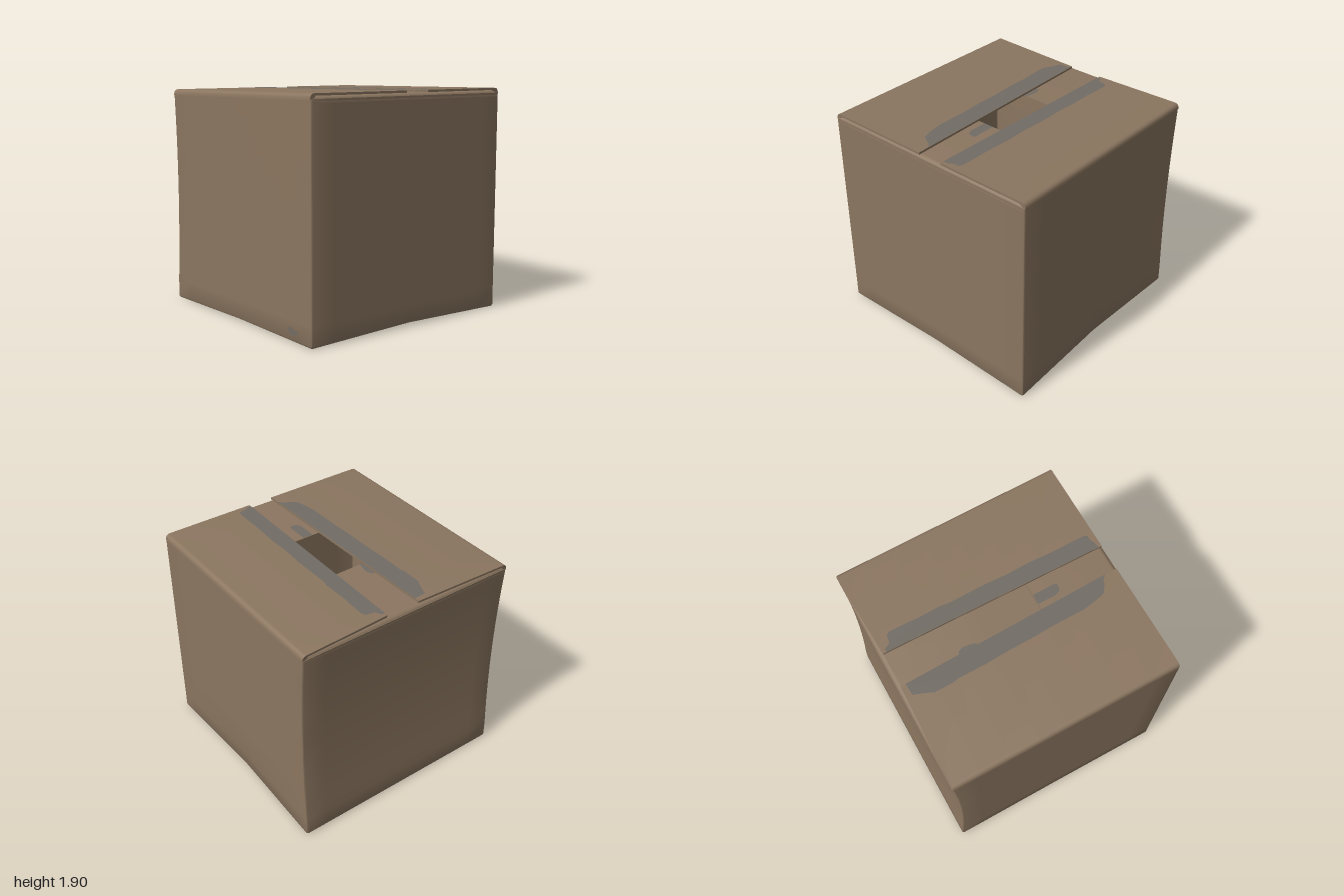
import * as THREE from 'three';
import { toCreasedNormals } from 'three/addons/utils/BufferGeometryUtils.js';

const { lerp, clamp } = THREE.MathUtils;

// Move every vertex by a rule
function bend(geo, rule) {
  const p = geo.attributes.position, v = new THREE.Vector3();
  for (let i = 0; i < p.count; i++) {
    v.fromBufferAttribute(p, i);
    rule(v);
    p.setXYZ(i, v.x, v.y, v.z);
  }
  return geo;
}

// Worn shape of the carton: tilted top, caved-in side, lifted bottom edges
function wear(v) {
  const { x, y, z } = v;
  const low = clamp(1 - y / 0.3, 0, 1);
  const dent = 0.034 * Math.max(0, 1 - ((y - 1) / 0.87) ** 2);
  v.x += dent * clamp(-x, 0, 1);
  v.y += 0.012 * x * (y / 1.87);
  v.y += low * (0.028 * (1 - Math.abs(z)) * clamp((x + 1) / 2, 0, 1) + 0.015 * (1 - Math.abs(x)));
  v.z += low * 0.03 * (1 - Math.abs(x)) * clamp(-z, 0, 1);
}

// Rounded square outline with points along each side
function squareRing(h, radius) {
  const pts = [], r = Math.min(radius, h * 0.5), sideSteps = 10, arcSteps = 3;
  for (let s = 0; s < 4; s++) {
    const c = Math.cos(s * Math.PI / 2), n = Math.sin(s * Math.PI / 2);
    const add = (a, b) => pts.push([a * c - b * n, a * n + b * c]);
    for (let i = 0; i <= sideSteps; i++) add(h, lerp(-h + r, h - r, i / sideSteps));
    for (let i = 1; i < arcSteps; i++) {
      const t = i / arcSteps * Math.PI / 2;
      add(h - r + r * Math.cos(t), h - r + r * Math.sin(t));
    }
  }
  return pts;
}

// Hollow open carton, lofted underside -> outer walls -> rim -> inner walls -> floor
function cartonGeometry() {
  const levels = [[0, 0.001], [0, 0.5], [0, 0.975], [0.005, 0.988], [0.018, 0.995]];
  for (let i = 1; i <= 12; i++) levels.push([lerp(0.018, 1.845, i / 12), 0.995]);
  for (let i = 0; i <= 12; i++) levels.push([lerp(1.845, 0.03, i / 12), 0.972]);
  levels.push([0.03, 0.5], [0.03, 0.001]);
  const pos = [], index = [];
  let n = 0;
  levels.forEach(([y, h]) => {
    const ring = squareRing(h, 0.014);
    n = ring.length;
    ring.forEach(([x, z]) => pos.push(x, y, z));
  });
  for (let i = 0; i < levels.length - 1; i++) {
    for (let j = 0; j < n; j++) {
      const a = i * n + j, b = i * n + (j + 1) % n;
      index.push(a, a + n, b, b, a + n, b + n);
    }
  }
  const geo = new THREE.BufferGeometry();
  geo.setAttribute('position', new THREE.Float32BufferAttribute(pos, 3));
  geo.setIndex(index);
  return toCreasedNormals(bend(geo, wear), 0.6);
}

// Folded flap reaching from the outer edge inwards, turned to its side
function flapGeometry(angle, top, inner, width, rule = () => {}) {
  const t = 0.018;
  const s = new THREE.Shape();
  s.moveTo(0.996, top - 0.05);
  s.quadraticCurveTo(0.996, top, 0.955, top);
  s.lineTo(inner, top);
  s.lineTo(inner, top - t);
  s.lineTo(0.945, top - t);
  s.lineTo(0.975, top - 0.05);
  const geo = new THREE.ExtrudeGeometry(s, { depth: width, steps: 8, bevelEnabled: false, curveSegments: 6 });
  geo.translate(0, 0, -width / 2).rotateY(angle);
  bend(geo, rule);
  return toCreasedNormals(bend(geo, wear), 0.6);
}

// Inner edges of the two long flaps run slightly askew
const frontEdge = x => lerp(0.098, 0.055, (x + 1) / 2);
const backEdge = x => lerp(-0.207, -0.172, (x + 1) / 2);
const skew = edge => v => {
  const isInner = Math.abs(v.z) < 0.5;
  if (isInner) v.z = edge(v.x);
  if (v.x < 0) v.x *= isInner ? 0.965 : 0.995;
  else v.x *= 0.992;
};

// Flat patch on a horizontal surface, outline given as x, z
function patchGeometry(outline, y) {
  const shape = new THREE.Shape(outline.map(([x, z]) => new THREE.Vector2(x, -z)));
  const geo = new THREE.ShapeGeometry(shape).rotateX(-Math.PI / 2).translate(0, y, 0);
  return bend(geo, v => { v.y += 0.012 * v.x * (y / 1.87); });
}

export function createModel() {
  const group = new THREE.Group();
  const cardboard = new THREE.MeshStandardMaterial({ name: 'cardboard', color: 0x8b7660 });
  const residue = new THREE.MeshStandardMaterial({ name: 'tape residue', color: 0x716c64 });
  const add = (name, geo, mat) => {
    const mesh = new THREE.Mesh(geo, mat);
    mesh.name = name;
    group.add(mesh);
  };

  add('carton', cartonGeometry(), cardboard);

  // Short flaps lie under the long ones
  add('leftFlap', flapGeometry(0, 1.865, 0.295, 1.95), cardboard);
  add('rightFlap', flapGeometry(Math.PI, 1.865, 0.285, 1.95), cardboard);
  add('frontFlap', flapGeometry(-Math.PI / 2, 1.886, 0.1, 1.99, skew(frontEdge)), cardboard);
  add('backFlap', flapGeometry(Math.PI / 2, 1.886, 0.1, 1.99, skew(backEdge)), cardboard);

  // Torn tape marks on the flaps
  add('backTapeMark', patchGeometry([
    [-0.93, backEdge(-0.93)], [-0.93, -0.235], [-0.88, -0.26], [-0.865, -0.335], [-0.83, -0.35],
    [-0.65, -0.345], [-0.6, -0.34], [-0.4, -0.345], [-0.3, -0.333], [0, -0.336], [0.2, -0.325],
    [0.4, -0.33], [0.6, -0.32], [0.9, -0.318], [0.93, -0.305], [0.935, -0.25], [0.95, -0.23],
    [0.96, backEdge(0.96)],
  ], 1.889), residue);
  add('frontTapeMark', patchGeometry([
    [-0.92, frontEdge(-0.92)], [-0.915, 0.2], [-0.82, 0.235], [-0.76, 0.265], [-0.6, 0.265],
    [-0.55, 0.255], [-0.3, 0.255], [-0.1, 0.245], [0.1, 0.245], [0.3, 0.235], [0.58, 0.235],
    [0.7, 0.215], [0.79, 0.19], [0.83, 0.13], [0.84, 0.1], [0.88, frontEdge(0.88)],
  ], 1.889), residue);
  add('leftFlapMark', patchGeometry([
    [0.297, -0.077], [0.5, -0.077], [0.513, -0.06], [0.505, -0.01], [0.46, 0.012], [0.297, 0.012],
  ], 1.867), residue);
  add('rightFlapMark', patchGeometry([
    [-0.45, 0.085], [-0.44, 0.055], [-0.4, 0.04], [-0.35, 0.045], [-0.287, 0.06], [-0.287, 0.085],
  ], 1.867), residue);

  // Small scuff low on the front
  const scuff = new THREE.Shape([
    [0.7, 0.085], [0.74, 0.062], [0.78, 0.06], [0.82, 0.08], [0.83, 0.105], [0.79, 0.1],
    [0.76, 0.11], [0.71, 0.118],
  ].map(([x, y]) => new THREE.Vector2(x, y)));
  add('frontScuff', new THREE.ShapeGeometry(scuff).translate(0, 0, 0.998), residue);

  return group;
}
